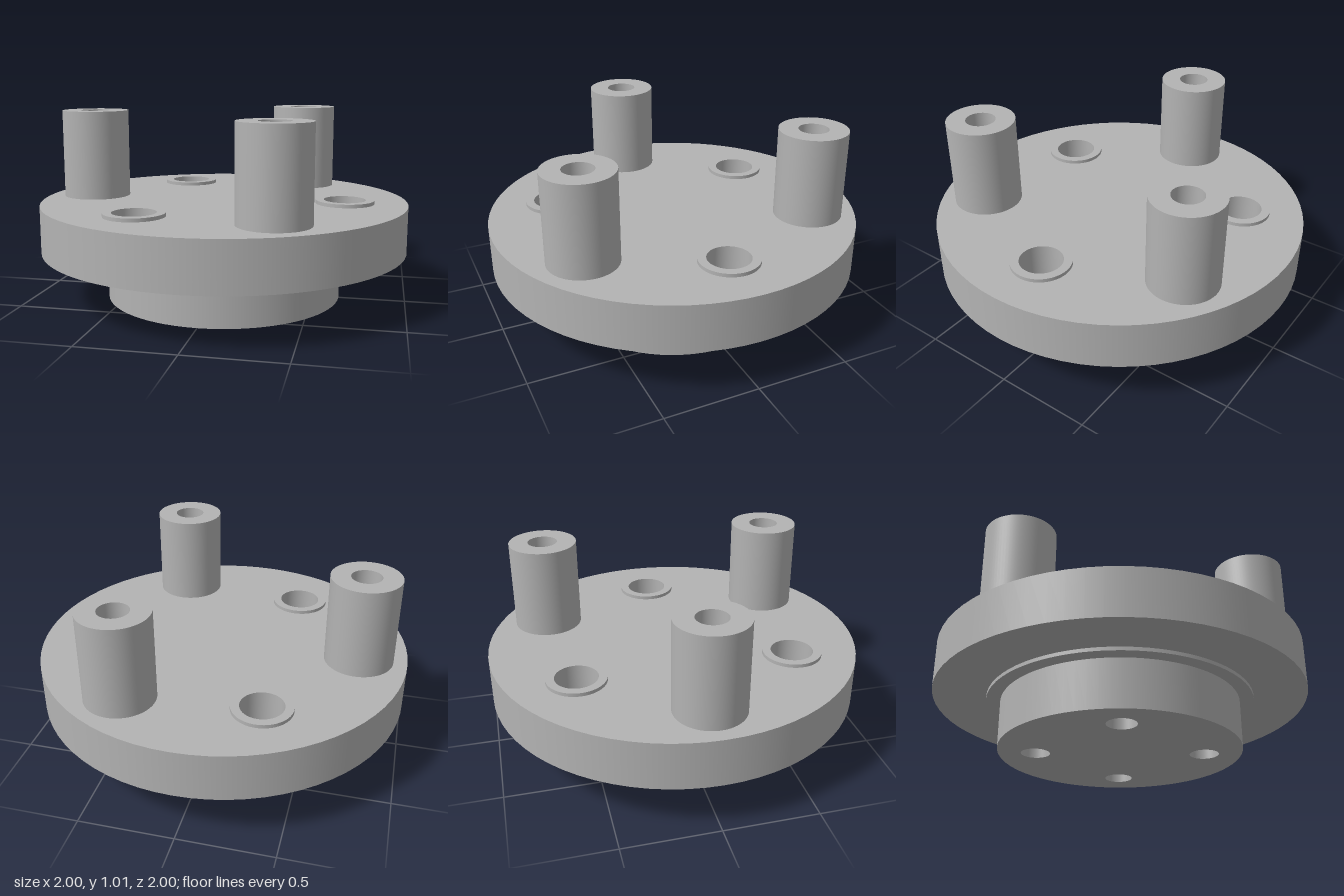
import * as THREE from 'three';
import { mergeGeometries } from 'three/addons/utils/BufferGeometryUtils.js';

const SEGMENTS = 72;

// Turned solid with crisp edges: each profile step [radius, y] is its own smooth band.
// Upward steps face out, downward steps face in, inward steps face up, outward steps face down.
function turned(profile) {
  const bands = [];
  for (let i = 0; i < profile.length - 1; i++) {
    const pair = [profile[i], profile[i + 1]].map(([r, y]) => new THREE.Vector2(r, y));
    bands.push(new THREE.LatheGeometry(pair, SEGMENTS));
  }
  return mergeGeometries(bands);
}

// Flat round face pierced by round holes, facing up or down
function piercedFace(radius, y, holes, holeRadius, up) {
  const shape = new THREE.Shape().absarc(0, 0, radius, 0, Math.PI * 2);
  for (const [x, z] of holes) {
    shape.holes.push(new THREE.Path().absarc(x, up ? -z : z, holeRadius, 0, Math.PI * 2, true));
  }
  const face = new THREE.ShapeGeometry(shape, SEGMENTS / 2);
  return face.rotateX(up ? -Math.PI / 2 : Math.PI / 2).translate(0, y, 0);
}

// Evenly spaced [x, z] positions on a circle
function ringOf(count, radius, startDegrees) {
  return Array.from({ length: count }, (_, i) => {
    const a = THREE.MathUtils.degToRad(startDegrees + (i * 360) / count);
    return [radius * Math.cos(a), radius * Math.sin(a)];
  });
}

export function createModel() {
  const model = new THREE.Group();
  const metal = new THREE.MeshStandardMaterial({ color: 0xb3b3b3 });
  metal.name = 'grey metal';

  function add(name, geometry, [x, z] = [0, 0]) {
    const mesh = new THREE.Mesh(geometry, metal);
    mesh.name = name;
    mesh.position.set(x, 0, z);
    model.add(mesh);
  }

  const TOP = 0.53, PLATE_BOTTOM = 0.275, STEP_BOTTOM = 0.256, POST_TOP = 1.013;
  const collars = ringOf(3, 0.665, 0);
  const posts = ringOf(3, 0.742, 60);
  const boltHoles = ringOf(4, 0.447, 45);

  // Main plate with its shallow underside step
  add('plateTop', piercedFace(1, TOP, collars, 0.112, true));
  add('plateBody', turned([
    [0.645, STEP_BOTTOM], [0.72, STEP_BOTTOM], [0.72, PLATE_BOTTOM], [1, PLATE_BOTTOM], [1, TOP],
  ]));

  // Lower hub
  add('hubWall', turned([[0.645, 0], [0.645, STEP_BOTTOM]]));
  add('hubBottom', piercedFace(0.645, 0, boltHoles, 0.077, false));

  // Blind bolt holes in the hub, open downwards
  for (const p of boltHoles) {
    add('boltHole', turned([[0.077, 0.25], [0.077, 0]]), p);
    add('boltHoleEnd', turned([[0, 0.25], [0.077, 0.25]]), p);
  }

  // Low collars around blind sockets
  for (const p of collars) {
    add('collar', turned([
      [0.157, TOP], [0.157, 0.549], [0.112, 0.549], [0.112, 0.3], [0, 0.3],
    ]), p);
  }

  // Tall posts with blind bores
  for (const p of posts) {
    add('post', turned([
      [0.184, TOP], [0.184, POST_TOP], [0.08, POST_TOP], [0.08, 0.6], [0, 0.6],
    ]), p);
  }

  return model;
}
